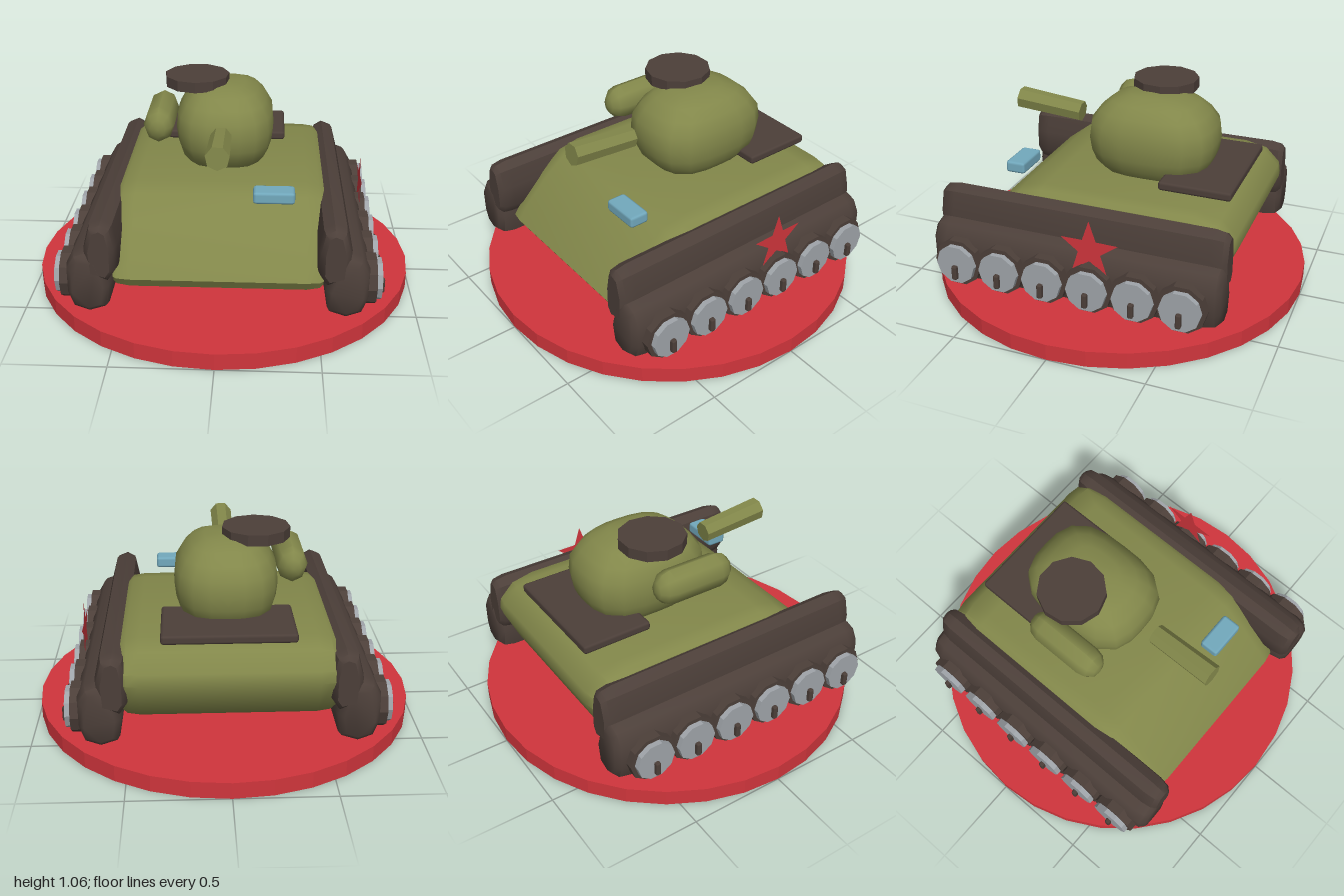
import * as THREE from 'three';
import { toCreasedNormals, mergeVertices } from 'three/addons/utils/BufferGeometryUtils.js';
import { RoundedBoxGeometry } from 'three/addons/geometries/RoundedBoxGeometry.js';

const paint = (name, color, extra = {}) => {
  const m = new THREE.MeshStandardMaterial({ color, ...extra });
  m.name = name;
  return m;
};

// Bevelled prism of a closed outline, centred along its depth
function prism(points, depth, thickness, bevel) {
  const shape = new THREE.Shape(points.map(([x, y]) => new THREE.Vector2(x, y)));
  const core = depth - 2 * thickness;
  const geo = new THREE.ExtrudeGeometry(shape, {
    depth: core, bevelThickness: thickness, bevelSize: bevel, bevelOffset: -bevel, bevelSegments: 2,
  });
  return geo.translate(0, 0, -core / 2);
}

export function createModel() {
  const model = new THREE.Group();
  model.name = 'toyTank';
  const red = paint('red', 0xd0353c);
  const star = paint('starRed', 0xd0353c, { side: THREE.DoubleSide });
  const green = paint('olive', 0x82874a);
  const dark = paint('darkBrown', 0x4c3f39);
  const grey = paint('wheelGrey', 0x9fa4a9);
  const blue = paint('lampBlue', 0x72a9bd);

  const add = (name, geo, mat, pos = [0, 0, 0], crease = 0.7, parent = model) => {
    const mesh = new THREE.Mesh(crease === null ? geo : toCreasedNormals(geo, crease), mat);
    mesh.name = name;
    mesh.position.set(...pos);
    parent.add(mesh);
    return mesh;
  };

  // Round base
  add('base', new THREE.CylinderGeometry(1, 1, 0.085, 32), red, [0, 0.0425, 0], 0.1);

  // Hull: side profile as (z, y), extruded across x
  const hullProfile = [
    [0.25, 0.625], [0.37, 0.6], [0.5, 0.5], [0.63, 0.37], [0.69, 0.29], [0.66, 0.24],
    [-0.62, 0.24], [-0.68, 0.28], [-0.76, 0.46], [-0.75, 0.52], [-0.67, 0.6], [-0.55, 0.625],
  ].map(([z, y]) => [-z, y]);
  add('hull', prism(hullProfile, 1.04, 0.09, 0.03).rotateY(Math.PI / 2), green, [0, 0, 0], 0.75);

  // Turret: lathe pushed out to a rounded-rectangle plan
  const turretProfile = [
    [0, 0.61], [0.74, 0.61], [0.9, 0.67], [0.97, 0.73], [1, 0.8], [0.97, 0.88],
    [0.84, 0.94], [0.66, 0.99], [0.4, 1.02], [0, 1.025],
  ].map(([r, y]) => new THREE.Vector2(r, y));
  let turret = new THREE.LatheGeometry(turretProfile, 20);
  const p = turret.attributes.position;
  for (let i = 0; i < p.count; i++) {
    const x = p.getX(i), z = p.getZ(i), r = Math.hypot(x, z);
    const n = Math.cbrt(Math.abs(x) ** 3 + Math.abs(z) ** 3);
    const k = n > 1e-6 ? r / n : 0;
    p.setXYZ(i, x * k * 0.26, p.getY(i), z * k * 0.335);
  }
  turret.deleteAttribute('normal');
  turret.deleteAttribute('uv');
  turret = mergeVertices(turret, 1e-4);
  turret.computeVertexNormals();
  add('turret', turret, green, [0, 0, -0.185], null);

  // Gun barrel, raised slightly toward the muzzle
  const gun = new THREE.CylinderGeometry(0.06, 0.055, 0.36, 7).rotateX(Math.PI / 2 - 0.09);
  add('gunBarrel', gun, green, [-0.005, 0.873, 0.41], 0.3);

  // Side pod beside the turret
  const pod = new THREE.CapsuleGeometry(0.085, 0.27, 3, 8).rotateX(Math.PI / 2).scale(0.95, 1.1, 1);
  add('sidePod', pod, green, [-0.335, 0.86, -0.07], 0.9);

  // Hatch, rear deck plate and lamp
  add('hatch', new THREE.CylinderGeometry(0.172, 0.172, 0.056, 11), dark, [-0.152, 1.032, -0.185], 0.3);
  add('rearPlate', new RoundedBoxGeometry(0.65, 0.048, 0.375, 1, 0.015), dark, [0, 0.66, -0.495], null);
  add('lamp', new RoundedBoxGeometry(0.205, 0.062, 0.105, 1, 0.015), blue, [0.265, 0.648, 0.455], null);

  // Star plate on the left side: outline as (z, y)
  const points = Array.from({ length: 10 }, (_, i) => {
    const r = i % 2 ? 0.06 : 0.153, a = Math.PI / 2 + (i * Math.PI) / 5;
    return new THREE.Vector2(r * Math.cos(a), r * Math.sin(a));
  });
  const plate = new THREE.ShapeGeometry(new THREE.Shape(points)).rotateY(Math.PI / 2);
  add('star', plate, star, [0.735, 0.478, -0.115], null);

  // Tracks: an upper fender lobe and a wider lower lobe, outlines as (x, y)
  const fender = [
    [0.5, 0.58], [0.55, 0.61], [0.61, 0.585], [0.64, 0.47], [0.63, 0.33], [0.52, 0.3], [0.48, 0.36], [0.48, 0.48],
  ].reverse();
  const belt = [
    [0.55, 0.42], [0.62, 0.465], [0.69, 0.44], [0.73, 0.37], [0.73, 0.24], [0.7, 0.16], [0.62, 0.13], [0.53, 0.16],
    [0.51, 0.28],
  ].reverse();

  for (const side of [1, -1]) {
    const group = new THREE.Group();
    group.name = side > 0 ? 'leftTrack' : 'rightTrack';
    model.add(group);
    // Mirror the outlines and keep them counter-clockwise
    const flip = (pts) => (side > 0 ? pts : pts.map(([x, y]) => [-x, y]).reverse());
    add('fender', prism(flip(fender), 1.51, 0.08, 0.03), dark, [0, 0, 0], 0.8, group);
    add('belt', prism(flip(belt), 1.51, 0.08, 0.035), dark, [0, 0, 0], 0.8, group);

    // Six road wheels: tyre, disc and hub
    for (let i = 0; i < 6; i++) {
      const z = 0.59 - i * 0.235;
      const disc = (r, w) => new THREE.CylinderGeometry(r, r, w, 10).rotateZ(Math.PI / 2);
      add('tyre', disc(0.126, 0.115), dark, [side * 0.708, 0.275, z], 0.3, group);
      add('wheelDisc', disc(0.104, 0.05), grey, [side * 0.768, 0.275, z], 0.3, group);
      add('hub', new RoundedBoxGeometry(0.05, 0.075, 0.028, 1, 0.008), dark, [side * 0.79, 0.236, z], null, group);
    }
  }
  return model;
}
